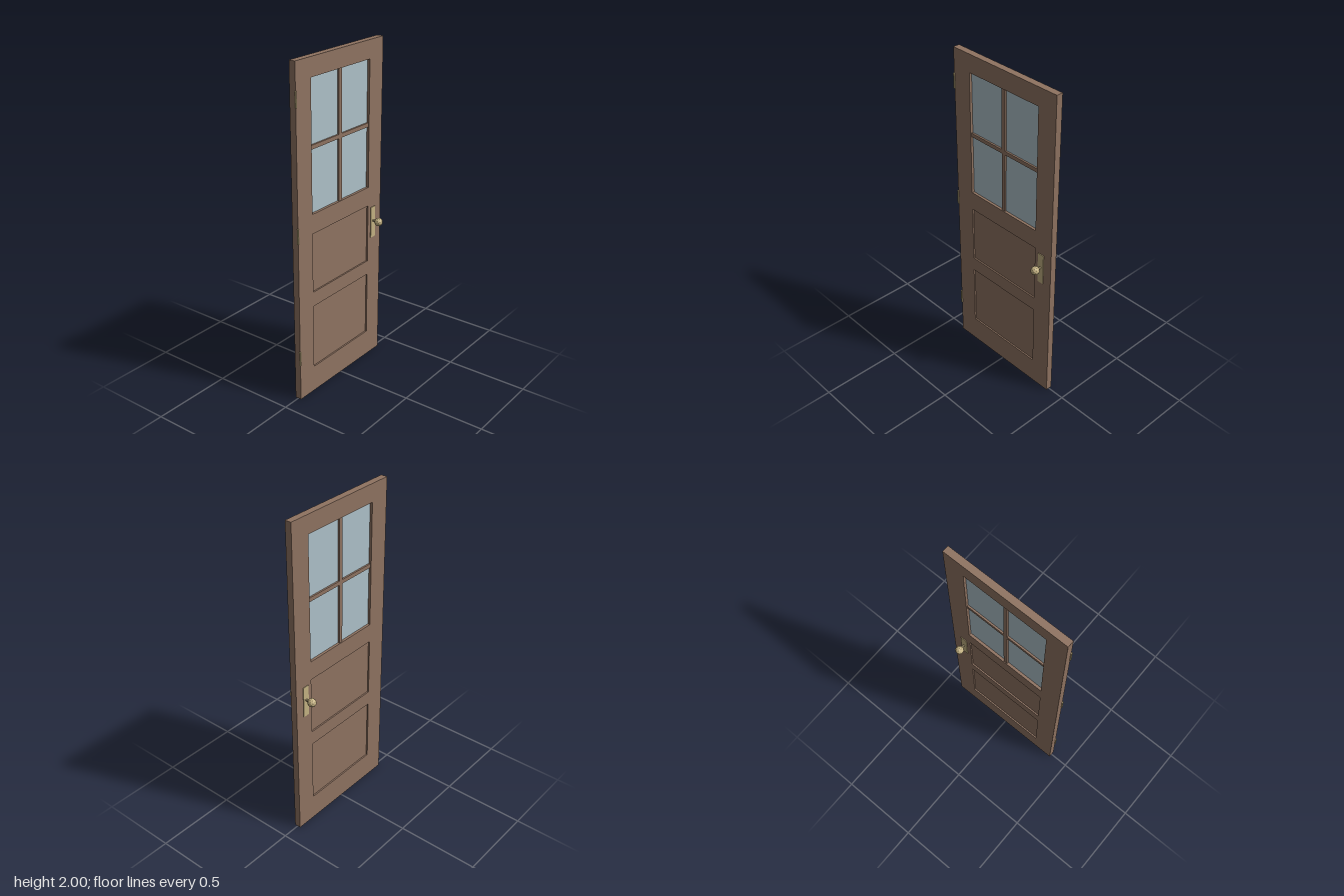
import * as THREE from 'three';

const wood = new THREE.MeshStandardMaterial({ name: 'brown wood', color: 0x8f7361 });
const glass = new THREE.MeshStandardMaterial({ name: 'pale blue glass', color: 0xaec1c9 });
const brass = new THREE.MeshStandardMaterial({ name: 'brass', color: 0xc4b283 });
brass.flatShading = true;

export function createModel() {
  const door = new THREE.Group();
  door.name = 'door';

  const add = (name, geometry, material, x, y, z) => {
    const mesh = new THREE.Mesh(geometry, material);
    mesh.name = name;
    mesh.position.set(x, y, z);
    door.add(mesh);
    return mesh;
  };
  const box = (name, material, w, h, d, x, y, z = 0) =>
    add(name, new THREE.BoxGeometry(w, h, d), material, x, y, z);

  const midX = 0.003, halfW = 0.386, depth = 0.04;
  const openHalf = 0.261;
  // openings as [bottom, top]
  const windowSpan = [1.127, 1.891];
  const panelSpans = [[0.162, 0.56], [0.65, 1.01]];

  // frame: one slab with three cut openings
  const rect = (path, x0, y0, x1, y1) =>
    path.moveTo(x0, y0).lineTo(x1, y0).lineTo(x1, y1).lineTo(x0, y1).closePath();
  const outline = new THREE.Shape();
  rect(outline, -halfW, 0, halfW, 2);
  for (const [y0, y1] of [...panelSpans, windowSpan]) {
    const hole = new THREE.Path();
    rect(hole, -openHalf, y0, openHalf, y1);
    outline.holes.push(hole);
  }
  const slab = new THREE.ExtrudeGeometry(outline, { depth, bevelEnabled: false });
  add('frame', slab, wood, midX, 0, -depth / 2);

  // recessed lower panels
  for (const [y0, y1] of panelSpans) {
    box('panel', wood, openHalf * 2, y1 - y0, 0.022, midX, (y0 + y1) / 2);
  }

  // window pane and glazing bars
  const winY = (windowSpan[0] + windowSpan[1]) / 2;
  const winH = windowSpan[1] - windowSpan[0];
  box('windowPane', glass, openHalf * 2, winH, 0.008, midX, winY);
  box('verticalBar', wood, 0.024, winH, 0.03, midX - 0.002, winY);
  box('horizontalBar', wood, openHalf * 2, 0.024, 0.029, midX, winY);

  // plate, spindle and faceted knob on each face
  const knobX = 0.312, knobY = 0.902;
  for (const side of [1, -1]) {
    box('handlePlate', brass, 0.042, 0.196, 0.005, knobX, 0.893, side * 0.0215);
    const spindle = add('spindle', new THREE.CylinderGeometry(0.007, 0.007, 0.035, 8),
      brass, knobX, knobY, side * 0.036);
    spindle.rotation.x = Math.PI / 2;
    add('knob', new THREE.IcosahedronGeometry(0.026, 1), brass, knobX, knobY, side * 0.065);
  }

  // hinge barrels on the front right-hand edge of the model
  for (const y of [0.273, 1.037, 1.8]) {
    add('hinge', new THREE.CylinderGeometry(0.006, 0.006, 0.09, 8), brass, -0.383, y, 0.02);
  }
  return door;
}
